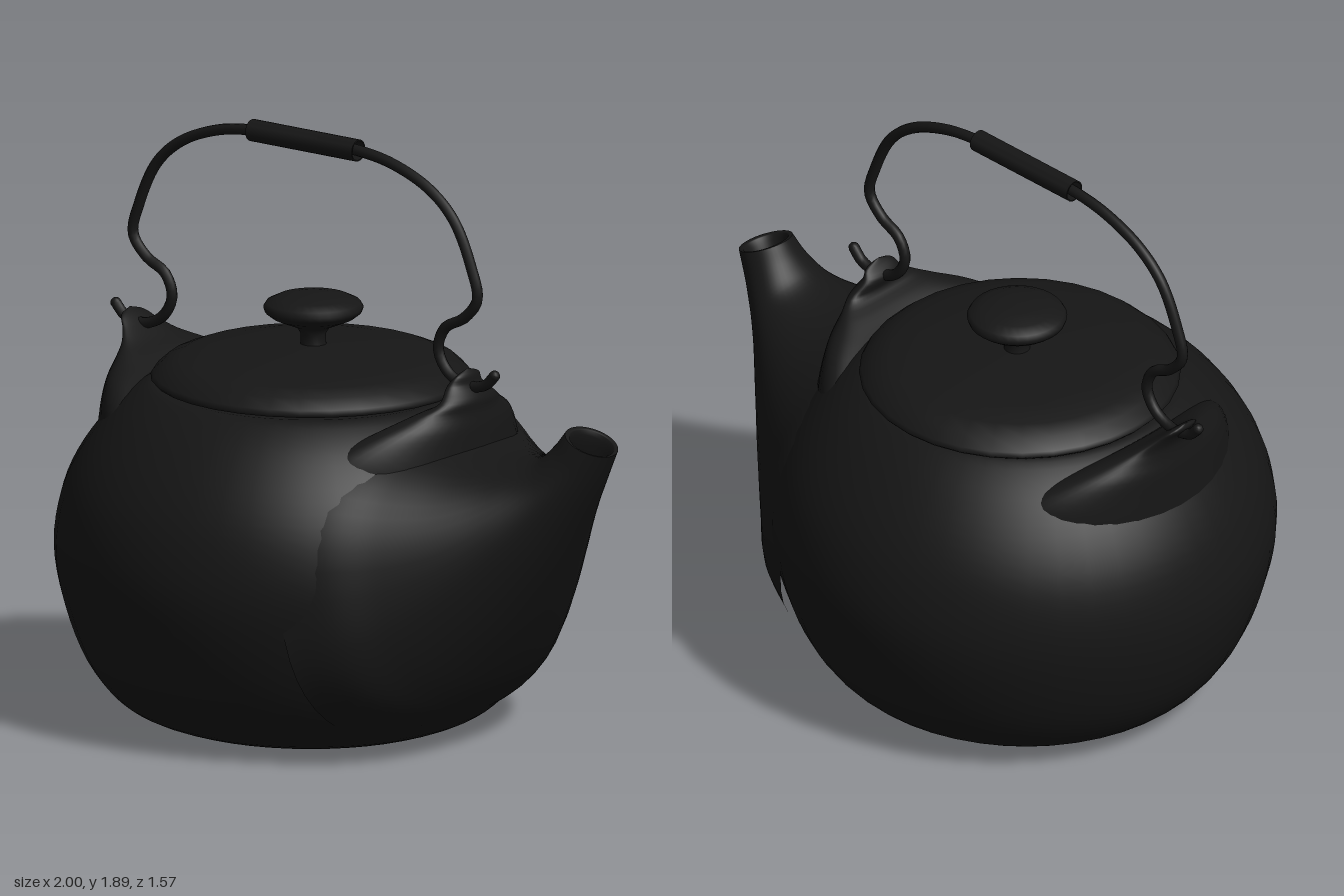
import * as THREE from 'three';
import { toCreasedNormals } from 'three/addons/utils/BufferGeometryUtils.js';

const CX = -0.2; // axis of body and lid
const iron = new THREE.MeshStandardMaterial({ color: 0x161616 });

function mesh(name, geometry, x = 0, y = 0, z = 0) {
  const m = new THREE.Mesh(geometry, iron);
  m.name = name;
  m.position.set(x, y, z);
  return m;
}

const points2 = (list) => list.map(([x, y]) => new THREE.Vector2(x, y));

// Smooth skin through closed rings of equal point count
function loft(rings, steps) {
  const n = rings[0].length;
  const columns = rings[0].map((_, i) =>
    new THREE.CatmullRomCurve3(rings.map((r) => r[i])).getPoints(steps));
  const pos = [], index = [];
  for (let k = 0; k <= steps; k++) for (let i = 0; i < n; i++) pos.push(...columns[i][k].toArray());
  for (let k = 0; k < steps; k++) for (let i = 0; i < n; i++) {
    const a = k * n + i, b = k * n + (i + 1) % n;
    index.push(a, b, a + n, b, b + n, a + n);
  }
  const g = new THREE.BufferGeometry();
  g.setAttribute('position', new THREE.Float32BufferAttribute(pos, 3));
  g.setIndex(index);
  g.computeVertexNormals();
  return g;
}

const ring = (fn, n = 48) => Array.from({ length: n }, (_, i) => fn((i / n) * Math.PI * 2));
const bulge = (v, e) => Math.sign(v) * Math.abs(v) ** e;

// Tilted oval between a lower and an upper point, with half width and roundness
// (below 1 is boxier)
const spoutRing = ([lx, ly, ux, uy, w, e = 1]) => ring((t) => {
  const c = bulge(Math.cos(t), e);
  return new THREE.Vector3(
    (lx + ux) / 2 + (ux - lx) / 2 * c,
    (ly + uy) / 2 + (uy - ly) / 2 * c,
    w * bulge(Math.sin(t), e));
});

// Crescent around the lid axis: inner radius, outer radius, height, half angle
const lugRing = (dir) => ([inner, outer, y, span]) => ring((t) => {
  const r = (inner + outer) / 2 + (outer - inner) / 2 * Math.cos(t);
  const a = span * Math.sin(t);
  return new THREE.Vector3(CX + dir * r * Math.cos(a), y, -dir * r * Math.sin(a));
});

export function createModel() {
  const group = new THREE.Group();

  // Round belly
  const belly = new THREE.SplineCurve(points2([
    [0.36, 0], [0.47, 0.015], [0.6, 0.075], [0.7, 0.2], [0.77, 0.38], [0.8, 0.56],
    [0.775, 0.73], [0.71, 0.87], [0.61, 0.995], [0.51, 1.072], [0.46, 1.077],
  ])).getPoints(40);
  const body = mesh('body', new THREE.LatheGeometry(
    [new THREE.Vector2(0, 0), ...belly, new THREE.Vector2(0, 1.077)], 48), CX);
  body.scale.z = 0.983;
  group.add(body);

  // Spout leaving the belly tangentially, and the bore in its mouth
  const lip = [1.0, 1.03, 0.84, 1.097, 0.088];
  group.add(mesh('spout', loft([
    [0.28, 0.04, 0.12, 1.065, 0.665, 0.8],
    [0.43, 0.11, 0.25, 1.04, 0.592, 0.8],
    [0.52, 0.2, 0.39, 1.0, 0.495, 0.83],
    [0.625, 0.35, 0.54, 0.972, 0.382, 0.88],
    [0.75, 0.56, 0.66, 0.975, 0.265, 0.95],
    [0.87, 0.78, 0.75, 1.0, 0.163],
    [0.95, 0.93, 0.8, 1.045, 0.112],
    lip,
  ].map(spoutRing), 42)));
  group.add(mesh('spoutMouth', loft([
    lip,
    [0.985, 1.03, 0.855, 1.088, 0.075],
    [0.93, 0.94, 0.83, 1.01, 0.065],
    [0.85, 0.85, 0.77, 0.94, 0.06],
    [0.81, 0.89, 0.81, 0.89, 0.001],
  ].map(spoutRing), 16)));

  // Lugs that flare out of the shoulder and carry the handle
  const lugBase = [
    [0.4, 0.69, 0.88, 1.0],
    [0.44, 0.685, 0.97, 0.82],
    [0.49, 0.682, 1.045, 0.56],
    [0.545, 0.675, 1.095, 0.34],
    [0.6, 0.675, 1.13, 0.21],
  ];
  const lugTips = {
    backLug: [-1, [[0.645, 0.69, 1.165, 0.13], [0.68, 0.71, 1.195, 0.08], [0.705, 0.705, 1.212, 0]]],
    spoutLug: [1, [[0.59, 0.65, 1.175, 0.13], [0.615, 0.645, 1.205, 0.09], [0.63, 0.63, 1.225, 0]]],
  };
  for (const [name, [dir, tip]] of Object.entries(lugTips)) {
    group.add(mesh(name, loft([...lugBase, ...tip].map(lugRing(dir)), 28)));
  }

  // Lid
  group.add(mesh('lid', new THREE.LatheGeometry(points2([
    [0, 1.083], [0.47, 1.083], [0.495, 1.088], [0.503, 1.097], [0.495, 1.11], [0.46, 1.142],
    [0.41, 1.162], [0.33, 1.176], [0.2, 1.188], [0.08, 1.196], [0, 1.197],
  ]), 32), CX, 0, -0.015));

  // Mushroom knob
  group.add(mesh('lidKnob', new THREE.LatheGeometry(points2([
    [0.045, 1.18], [0.04, 1.2], [0.04, 1.23], [0.052, 1.25], [0.09, 1.266], [0.13, 1.283],
    [0.152, 1.3], [0.157, 1.315], [0.148, 1.33], [0.115, 1.346], [0.06, 1.356], [0, 1.358],
  ]), 32), CX - 0.007, 0, -0.035));

  // Bent wire handle, mirrored about its middle
  const mid = -0.212;
  const half = [
    [-0.96, 1.215], [-0.925, 1.18], [-0.85, 1.167], [-0.775, 1.2], [-0.738, 1.27], [-0.765, 1.34],
    [-0.84, 1.383], [-0.892, 1.45], [-0.868, 1.55], [-0.8, 1.69], [-0.705, 1.775],
    [-0.56, 1.835], [-0.42, 1.857], [-0.3, 1.857],
  ];
  const path = [...half, ...half.map(([x, y]) => [2 * mid - x, y]).reverse()]
    .map(([x, y]) => new THREE.Vector3(x, y, 0));
  const handle = new THREE.Group();
  handle.name = 'handle';
  handle.add(mesh('handleWire', new THREE.TubeGeometry(new THREE.CatmullRomCurve3(path), 140, 0.0175, 10)));
  for (const end of [path[0], path[path.length - 1]]) {
    handle.add(mesh('handleWireEnd', new THREE.SphereGeometry(0.0175, 10, 8), end.x, end.y, 0));
  }

  // Thin hollow sleeve grip
  const sleeve = new THREE.LatheGeometry(points2([
    [0.031, 0.21], [0.031, -0.21], [0.035, -0.21], [0.035, 0.21], [0.031, 0.21],
  ]), 20);
  const grip = mesh('handleGrip', toCreasedNormals(sleeve, 0.7), mid, 1.857, 0);
  grip.rotation.z = Math.PI / 2;
  handle.add(grip);
  group.add(handle);

  return group;
}
